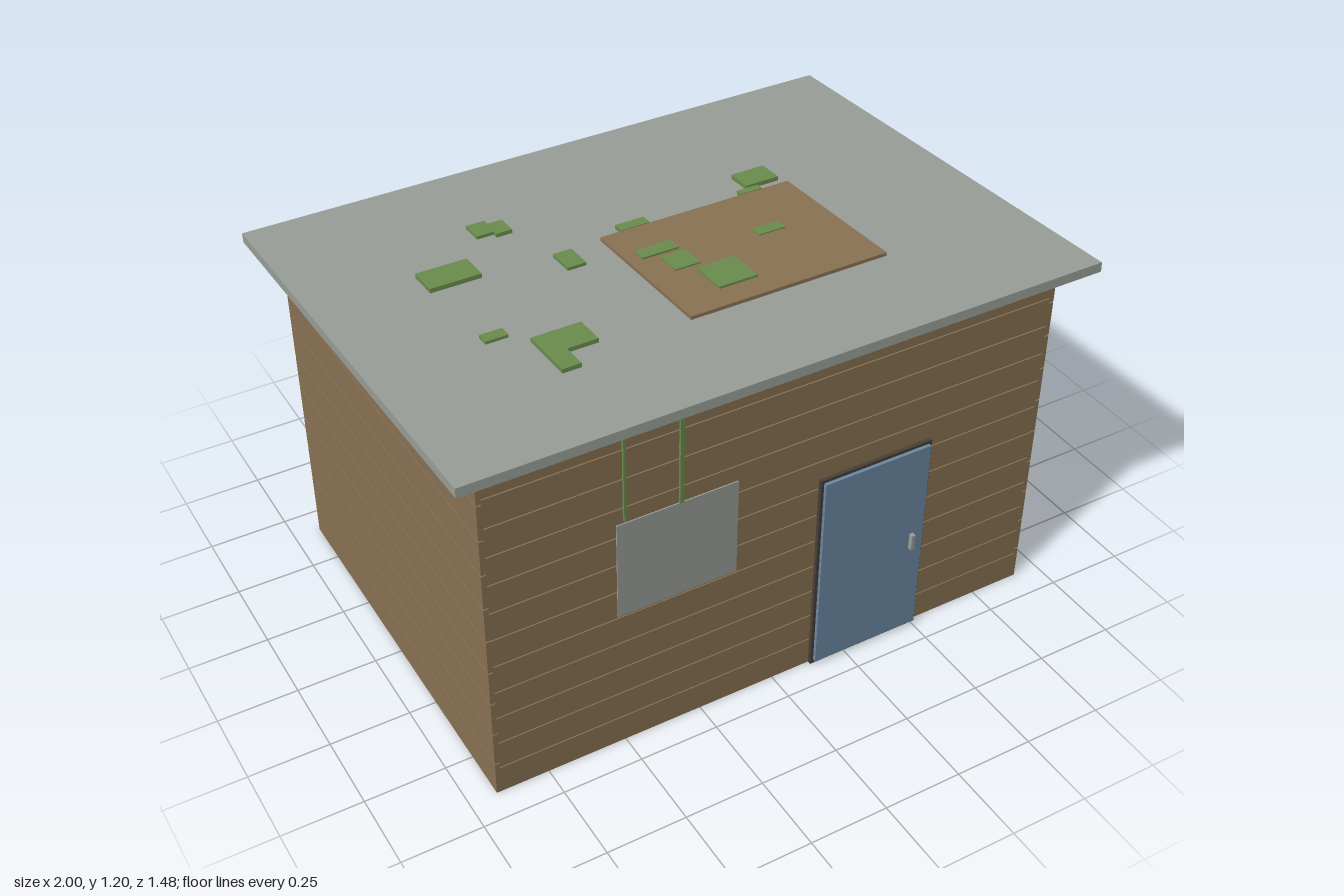
import * as THREE from 'three';

const mat = (name, color, extra = {}) => {
  const m = new THREE.MeshStandardMaterial({ color, ...extra });
  m.name = name;
  return m;
};

export function createModel() {
  const wood = mat('weathered wood', 0x8b7355);
  const metal = mat('grey roofing', 0x9a9f99);
  const moss = mat('moss green', 0x6b8e4e);
  const blue = mat('faded blue paint', 0x6b8ba4);
  const dark = mat('dark frame', 0x4a4038);

  const model = new THREE.Group();
  model.name = 'shed';

  // Box given by its minimum and maximum corners
  const box = (parent, name, material, x0, x1, y0, y1, z0, z1) => {
    const mesh = new THREE.Mesh(new THREE.BoxGeometry(x1 - x0, y1 - y0, z1 - z0), material);
    mesh.position.set((x0 + x1) / 2, (y0 + y1) / 2, (z0 + z1) / 2);
    mesh.name = name;
    parent.add(mesh);
    return mesh;
  };
  const group = (name, parent = model) => {
    const g = new THREE.Group();
    g.name = name;
    parent.add(g);
    return g;
  };

  const W = 0.915, D = 0.657, T = 0.015, GAP = 0.004;
  const tilt = 0.0523, roofMidY = 1.142;
  const ceilingAt = z => roofMidY - 0.016 + z * Math.tan(tilt);

  // Front and back walls of horizontal boards
  for (const [name, z, count] of [['frontWall', D - T, 12], ['backWall', -D, 11]]) {
    const wall = group(name);
    const height = ceilingAt(name === 'frontWall' ? D - T : -D);
    const pitch = height / count;
    for (let i = 0; i < count; i++) {
      const top = i === count - 1 ? height : (i + 1) * pitch - GAP;
      box(wall, 'board', wood, -W + T, W - T, i * pitch, top, z, z + T);
    }
  }

  // Side walls, with the top board cut to the roof slope
  for (const side of [-1, 1]) {
    const wall = group(side > 0 ? 'leftWall' : 'rightWall');
    const pitch = 0.1163, x0 = side > 0 ? W - T : -W;
    for (let i = 0; i < 9; i++) {
      box(wall, 'board', wood, x0, x0 + T, i * pitch, (i + 1) * pitch - GAP, -D, D);
    }
    const shape = new THREE.Shape([
      new THREE.Vector2(-D, 9 * pitch), new THREE.Vector2(D, 9 * pitch),
      new THREE.Vector2(D, ceilingAt(D)), new THREE.Vector2(-D, ceilingAt(-D)),
    ]);
    const geometry = new THREE.ExtrudeGeometry(shape, { depth: T, bevelEnabled: false });
    geometry.rotateY(-Math.PI / 2).translate(x0 + T, 0, 0);
    const board = new THREE.Mesh(geometry, wood);
    board.name = 'slopedBoard';
    wall.add(board);
  }

  // Window pane
  box(model, 'windowPane', metal, -0.52, -0.14, 0.49, 0.815, D - 0.002, D + 0.004);

  // Door
  const door = group('door');
  box(door, 'doorFrame', dark, 0.13, 0.513, 0, 0.708, D - 0.01, 0.669);
  box(door, 'doorPanel', blue, 0.14, 0.503, 0.014, 0.698, 0.66, 0.68);
  box(door, 'doorHandle', metal, 0.454, 0.466, 0.33, 0.385, 0.68, 0.695);

  // Tilted roof carrying the patch and the moss
  const roof = group('roof');
  roof.position.y = roofMidY;
  roof.rotation.x = -tilt;
  const top = 0.015;
  box(roof, 'roofSlab', metal, -1, 1, -top, top, -0.74, 0.74);
  box(roof, 'repairPatch', wood, -0.13, 0.515, top, top + 0.011, -0.13, 0.385);

  // Moss clumps: x0, x1, z0, z1, height
  const clumps = [
    [-0.672, -0.512, -0.225, -0.125, 0.014],
    [-0.43, -0.37, -0.405, -0.33, 0.01],
    [-0.376, -0.325, -0.38, -0.31, 0.012],
    [-0.29, -0.23, -0.12, -0.028, 0.01],
    [-0.657, -0.588, 0.158, 0.198, 0.009],
    [-0.548, -0.395, 0.25, 0.35, 0.013],
    [-0.548, -0.49, 0.349, 0.432, 0.013],
    [0.39, 0.503, -0.25, -0.165, 0.014],
    [0.35, 0.424, -0.155, -0.13, 0.013],
    [-0.06, 0.035, -0.168, -0.13, 0.013],
    [-0.09, 0.03, 0, 0.048, 0.017],
    [-0.043, 0.038, 0.068, 0.153, 0.016],
    [0.01, 0.135, 0.178, 0.303, 0.018],
    [0.262, 0.352, 0.07, 0.11, 0.015],
  ];
  const mossGroup = group('moss', roof);
  for (const [x0, x1, z0, z1, h] of clumps) {
    box(mossGroup, 'mossClump', moss, x0, x1, top - 0.002, top + h, z0, z1);
  }

  // Hanging vines: x, width, bottom, top, z
  const vines = [
    [-0.534, 0.008, 0.895, 1.168, 0.733],
    [-0.364, 0.012, 0.887, 1.168, 0.733],
    [0.695, 0.009, 0.75, 1.095, -0.66],
    [0.638, 0.016, 0.66, 1.095, -0.66],
    [0.543, 0.008, 0.84, 1.095, -0.66],
  ];
  const vineGroup = group('vines');
  for (const [x, w, y0, y1, z] of vines) {
    box(vineGroup, 'vine', moss, x - w / 2, x + w / 2, y0, y1, z - 0.004, z + 0.004);
  }

  return model;
}
